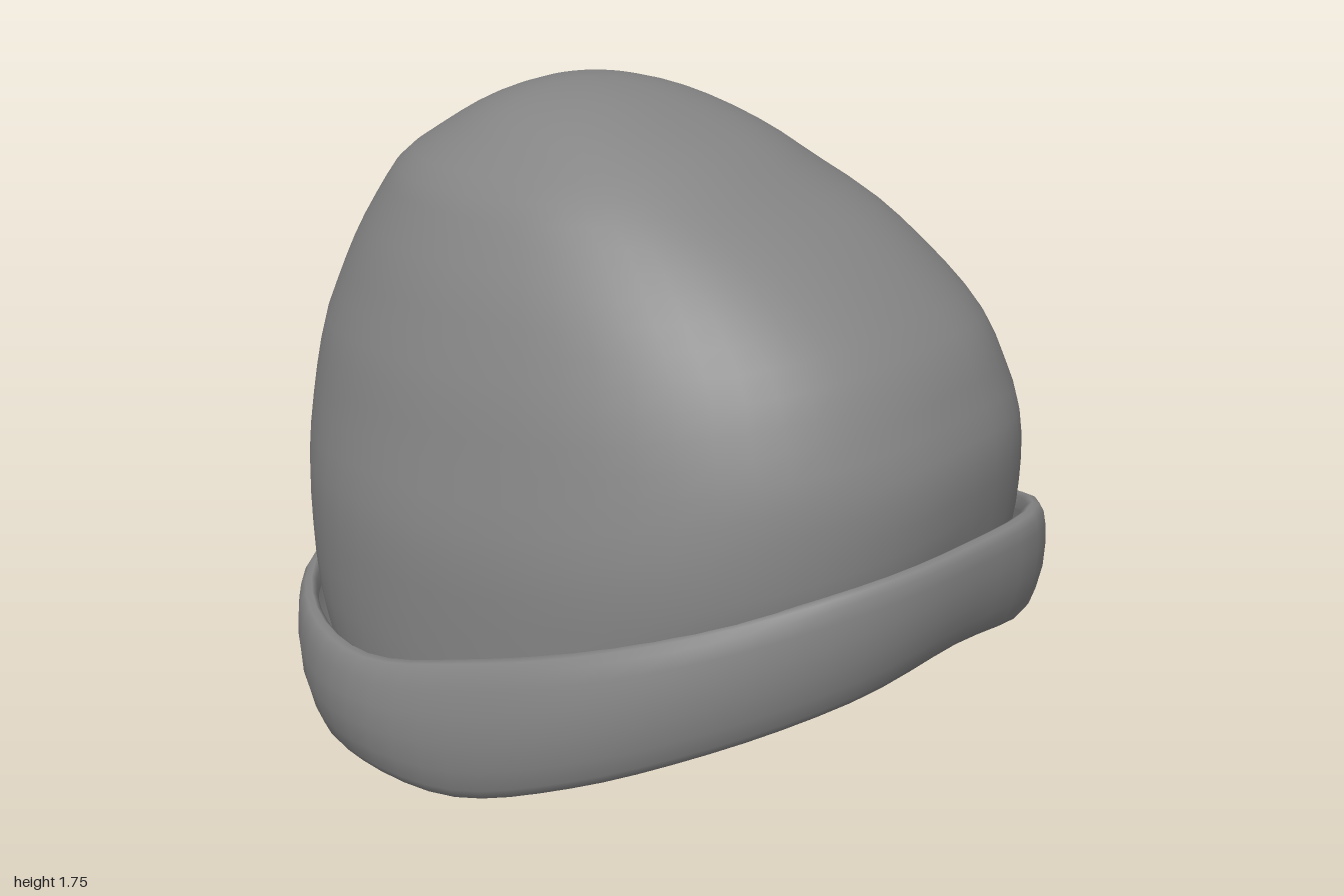
import * as THREE from 'three';

const TOP = 1.755;

// Crown outline by height: y, left x, right x, front z, back z
const CROWN = [
  [1.755, 0.02, 0.02, -0.25, -0.25],
  [1.70, -0.25, 0.28, 0.04, -0.49],
  [1.62, -0.37, 0.40, 0.25, -0.63],
  [1.54, -0.47, 0.49, 0.39, -0.74],
  [1.45, -0.53, 0.575, 0.55, -0.81],
  [1.33, -0.60, 0.65, 0.71, -0.88],
  [1.20, -0.655, 0.715, 0.84, -0.94],
  [1.10, -0.695, 0.755, 0.89, -0.975],
  [0.95, -0.735, 0.79, 0.945, -1.0],
  [0.73, -0.79, 0.84, 0.935, -1.0],
  [0.50, -0.80, 0.855, 0.89, -0.98],
  [0.36, -0.80, 0.84, 0.87, -0.95],
  [0.18, -0.79, 0.81, 0.85, -0.88],
  [0.00, -0.76, 0.78, 0.83, -0.81],
];

// Cuff values every 22.5 degrees, from the front round by the left side
const RADIUS = [0.985, 1.035, 0.95, 0.93, 0.9, 0.91, 0.96, 1.0, 1.0, 1.03, 1.0, 0.955, 0.9, 0.905, 0.935, 0.975];
const UPPER = [0.75, 0.73, 0.63, 0.535, 0.445, 0.38, 0.37, 0.38, 0.41, 0.39, 0.37, 0.38, 0.46, 0.55, 0.645, 0.73];
const LOWER = [0.46, 0.41, 0.31, 0.19, 0.085, 0.07, 0.025, 0.01, 0.0, 0.01, 0.025, 0.07, 0.085, 0.19, 0.31, 0.41];

// Smooth interpolation round a closed ring of values
function ring(values, angle) {
  const n = values.length;
  const s = ((angle / (2 * Math.PI)) % 1 + 1) % 1 * n;
  const i = Math.floor(s), f = s - i;
  const at = (k) => values[(i + k + n) % n];
  const m0 = (at(1) - at(-1)) / 2, m1 = (at(2) - at(0)) / 2;
  return hermite(at(0), at(1), m0, m1, f);
}

function hermite(a, b, m0, m1, f) {
  const f2 = f * f, f3 = f2 * f;
  return (2 * f3 - 3 * f2 + 1) * a + (f3 - 2 * f2 + f) * m0 + (3 * f2 - 2 * f3) * b + (f3 - f2) * m1;
}

// Crown outline at any height, rounded off at the apex
const KEYS = CROWN.map((row) => Math.sqrt(TOP - row[0]));
function crownSection(y) {
  const q = Math.sqrt(Math.max(0, TOP - y));
  const last = KEYS.length - 1;
  let i = 0;
  while (i < last - 1 && q > KEYS[i + 1]) i++;
  const h = KEYS[i + 1] - KEYS[i];
  const slope = (k, c) => {
    const a = Math.max(0, k - 1), b = Math.min(last, k + 1);
    return (CROWN[b][c] - CROWN[a][c]) / (KEYS[b] - KEYS[a]);
  };
  return [1, 2, 3, 4].map((c) =>
    hermite(CROWN[i][c], CROWN[i + 1][c], slope(i, c) * h, slope(i + 1, c) * h, (q - KEYS[i]) / h));
}

// How far the cuff leans inward at height fraction t
function cuffInset(angle, t) {
  const c = Math.cos(angle), side = 1 - c * c;
  const low = c > 0 ? 0.04 + 0.01 * c : 0.04 + 0.08 * c * c;
  const k = THREE.MathUtils.clamp(t, 0, 1);
  return low * (1 - k) ** 2 + 0.06 * side * k * k;
}

// Smooth surface closed in u, with rows running upward in v
function loft(segments, rows, point) {
  const positions = [], index = [];
  for (let j = 0; j <= rows; j++) {
    for (let i = 0; i < segments; i++) positions.push(...point((i / segments) * Math.PI * 2, j));
  }
  for (let j = 0; j < rows; j++) {
    for (let i = 0; i < segments; i++) {
      const a = j * segments + i, b = j * segments + (i + 1) % segments;
      index.push(a, b, b + segments, a, b + segments, a + segments);
    }
  }
  const geometry = new THREE.BufferGeometry();
  geometry.setAttribute('position', new THREE.Float32BufferAttribute(positions, 3));
  geometry.setIndex(index);
  geometry.computeVertexNormals();
  return geometry;
}

function crownGeometry() {
  const rows = 30;
  return loft(56, rows, (u, j) => {
    const power = (v) => Math.sign(v) * Math.abs(v) ** 0.88;
    const sx = power(Math.sin(u)), sz = power(Math.cos(u));
    const angle = Math.atan2(0.83 * sx, 0.95 * sz);
    const low = ring(LOWER, angle) + 0.02, high = ring(UPPER, angle);
    const y = low + (TOP - low) * Math.sin((j / rows) * Math.PI / 2);
    const [xl, xr, zf, zb] = crownSection(y);
    let x = (xl + xr) / 2 + sx * (xr - xl) / 2;
    let z = (zf + zb) / 2 + sz * (zf - zb) / 2;
    // Keep the hidden lower edge inside the cuff
    const t = (y - low) / (high - low);
    if (t < 1.2) {
      const a = Math.atan2(x, z), r = Math.hypot(x, z);
      const limit = ring(RADIUS, a) - cuffInset(a, t) - 0.06 + 0.1 * THREE.MathUtils.smoothstep(t, 0.8, 1.2);
      const k = Math.min(1, limit / r);
      x *= k;
      z *= k;
    }
    return [x, y, z];
  });
}

function cuffGeometry() {
  // Folded band profile: outward offset, height fraction
  const profile = [
    [-0.07, 0.1], [-0.06, 0.03], [-0.035, 0], [-0.01, 0.03], [0, 0.1], [0.005, 0.25], [0.008, 0.45],
    [0.005, 0.65], [0, 0.82], [-0.006, 0.93], [-0.018, 0.985], [-0.035, 1], [-0.05, 0.97], [-0.056, 0.86],
  ];
  return loft(64, profile.length - 1, (u, j) => {
    const [offset, t] = profile[j];
    const r = ring(RADIUS, u) - cuffInset(u, t) + offset;
    const y = THREE.MathUtils.lerp(ring(LOWER, u), ring(UPPER, u), t);
    return [r * Math.sin(u), Math.max(0, y), r * Math.cos(u)];
  });
}

export function createModel() {
  const group = new THREE.Group();
  group.name = 'knitCap';
  const material = new THREE.MeshStandardMaterial({ color: 0x848484, side: THREE.DoubleSide });
  const add = (name, geometry) => {
    const mesh = new THREE.Mesh(geometry, material);
    mesh.name = name;
    group.add(mesh);
  };
  add('crown', crownGeometry());
  add('foldedCuff', cuffGeometry());
  return group;
}
